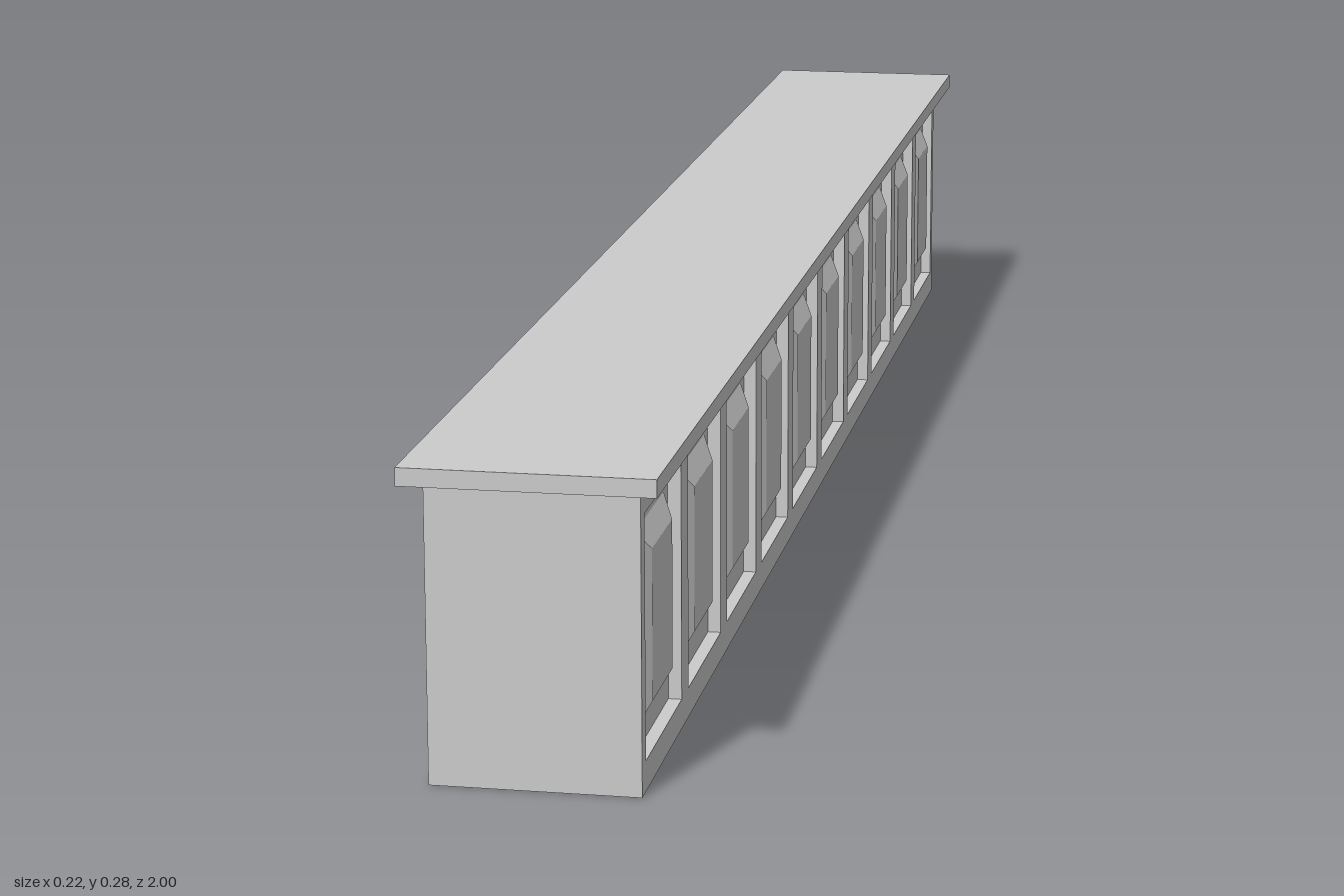
import * as THREE from 'three';

const W = 0.184, L = 1.956, H = 0.267;      // cabinet body
const TOP = { w: 0.22, h: 0.016, l: 2 };    // counter slab
const COUNT = 10, PITCH = 0.1956, MID_Y = 0.135;

const material = new THREE.MeshStandardMaterial({ color: 0xcccccc, flatShading: true, side: THREE.DoubleSide });

function add(parent, name, geometry, x = 0, y = 0, z = 0, turn = 0) {
  const mesh = new THREE.Mesh(geometry, material);
  mesh.name = name;
  mesh.position.set(x, y, z);
  mesh.rotation.y = turn;
  parent.add(mesh);
  return mesh;
}

// Nested rectangles [halfWidth, halfHeight, depth] joined from the rim inwards, last one capped
function nestedPanel(rings) {
  const corners = rings.map(([w, h, d]) => [[-w, -h, d], [w, -h, d], [w, h, d], [-w, h, d]]);
  const pos = [];
  const quad = (a, b, c, d) => pos.push(...a, ...b, ...c, ...a, ...c, ...d);
  for (let r = 0; r < rings.length - 1; r++) {
    for (let i = 0; i < 4; i++) {
      const j = (i + 1) % 4;
      quad(corners[r][i], corners[r][j], corners[r + 1][j], corners[r + 1][i]);
    }
  }
  quad(...corners[rings.length - 1]);
  const geometry = new THREE.BufferGeometry();
  geometry.setAttribute('position', new THREE.Float32BufferAttribute(pos, 3));
  geometry.computeVertexNormals();
  return geometry;
}

function rectPath(path, cx, cy, hw, hh) {
  path.moveTo(cx - hw, cy - hh);
  path.lineTo(cx + hw, cy - hh);
  path.lineTo(cx + hw, cy + hh);
  path.lineTo(cx - hw, cy + hh);
  path.closePath();
  return path;
}

export function createModel() {
  const model = new THREE.Group();
  model.name = 'counter';

  // Overhanging slab
  add(model, 'counterTop', new THREE.BoxGeometry(TOP.w, TOP.h, TOP.l), 0, H + TOP.h / 2, 0);

  // Plain walls, open underneath
  add(model, 'plainWall', new THREE.PlaneGeometry(L, H), -W / 2, H / 2, 0, -Math.PI / 2);
  add(model, 'frontEnd', new THREE.PlaneGeometry(W, H), 0, H / 2, L / 2);
  add(model, 'backEnd', new THREE.PlaneGeometry(W, H), 0, H / 2, -L / 2, Math.PI);

  // Panelled side: a face with openings, each filled by a recessed raised panel
  const side = new THREE.Group();
  side.name = 'panelledSide';
  side.position.x = W / 2;
  side.rotation.y = Math.PI / 2;
  model.add(side);

  const hw = 0.0815, hh = 0.108;
  const face = rectPath(new THREE.Shape(), 0, H / 2, L / 2, H / 2);
  const panel = nestedPanel([
    [hw, hh, 0],
    [hw, hh, -0.012],
    [0.063, 0.086, -0.012],
    [0.045, 0.067, -0.001],
  ]);
  for (let i = 0; i < COUNT; i++) {
    const u = (i - (COUNT - 1) / 2) * PITCH;
    face.holes.push(rectPath(new THREE.Path(), u, MID_Y, hw, hh));
    add(side, 'raisedPanel', panel, u, MID_Y, 0);
  }
  add(side, 'panelFrame', new THREE.ShapeGeometry(face));

  return model;
}
